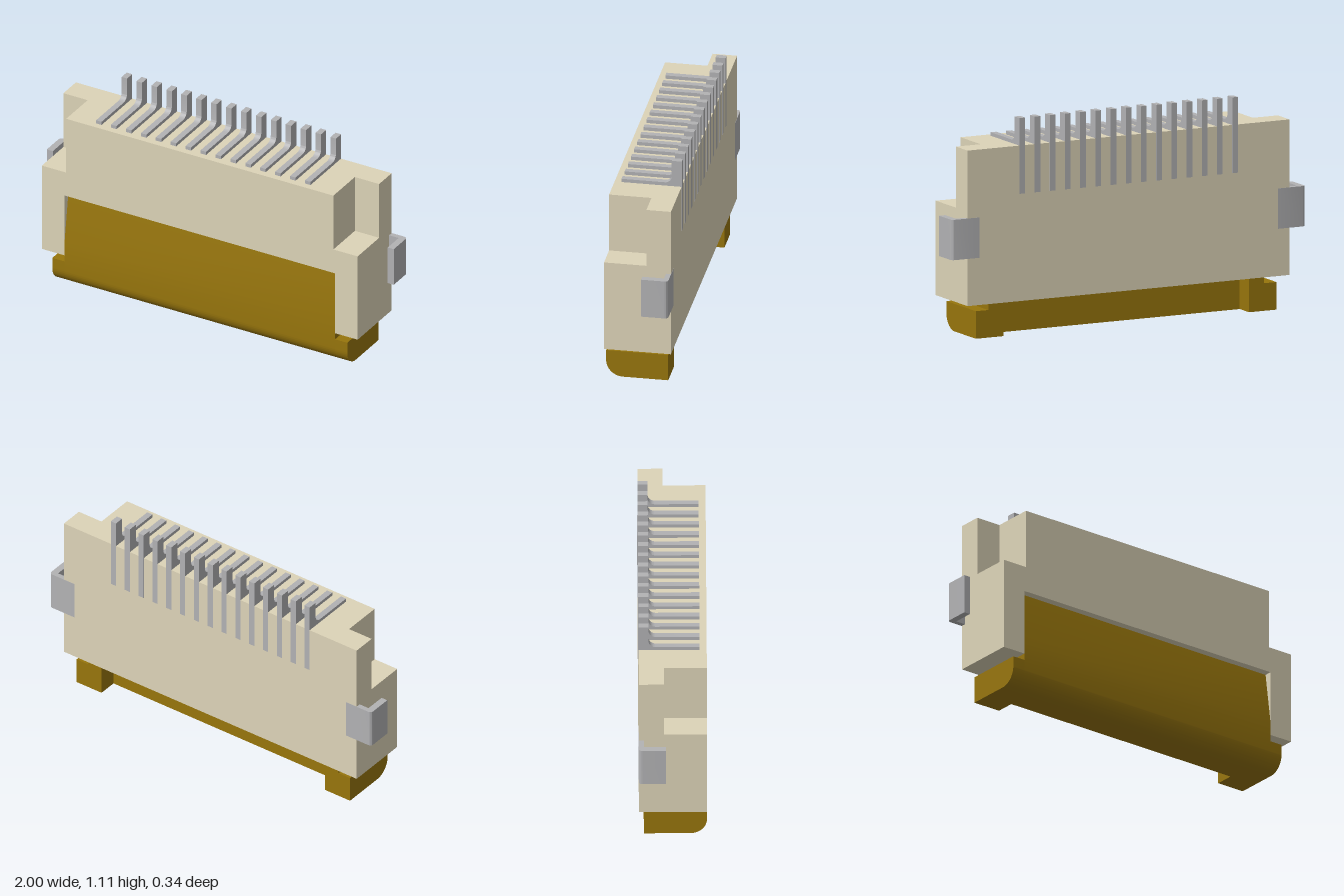
import * as THREE from 'three';
import { toCreasedNormals } from 'three/addons/utils/BufferGeometryUtils.js';

const plastic = new THREE.MeshStandardMaterial({ color: 0xddd4b8 });
const amber = new THREE.MeshStandardMaterial({ color: 0x97750c });
const metal = new THREE.MeshStandardMaterial({ color: 0xb2b2b4 });

const polygon = (points) => new THREE.Shape(points.map(([x, y]) => new THREE.Vector2(x, y)));

const extrude = (shape, depth) =>
  new THREE.ExtrudeGeometry(shape, { depth, bevelEnabled: false, curveSegments: 12 });

// Extrude a (z, y) profile along x between x0 and x1
const alongX = (shape, x0, x1) =>
  extrude(shape, x1 - x0).rotateY(-Math.PI / 2).translate(x1, 0, 0);

// Extrude an (x, y) outline along z between z0 and z1
const alongZ = (shape, z0, z1) => extrude(shape, z1 - z0).translate(0, 0, z0);

function add(parent, name, geometry, material) {
  const mesh = new THREE.Mesh(toCreasedNormals(geometry, 0.5), material);
  mesh.name = name;
  parent.add(mesh);
  return mesh;
}

const FRONT = 0.17, BACK = -0.17, STEP = -0.045;
const TOP = 0.965, BOTTOM = 0.175;

function housing() {
  const group = new THREE.Group();
  group.name = 'housing';
  // Full-height rear wall
  const rear = polygon([[-0.91, BOTTOM], [0.91, BOTTOM], [0.91, TOP], [-0.91, TOP]]);
  add(group, 'rearWall', alongZ(rear, BACK, STEP), plastic);
  // Front block with notched upper corners and the actuator opening
  const half = [[0.78, 0.52], [0.78, BOTTOM], [0.91, BOTTOM], [0.91, 0.655], [0.77, 0.655], [0.77, TOP]];
  const mirrored = half.map(([x, y]) => [-x, y]).reverse();
  add(group, 'frontBlock', alongZ(polygon([...half, ...mirrored]), STEP, FRONT), plastic);
  return group;
}

// Side profile with a rounded lower front edge
function roundedProfile(back, upperPoints) {
  const r = 0.085;
  const s = new THREE.Shape();
  s.moveTo(back, 0);
  s.lineTo(FRONT - r, 0);
  s.absarc(FRONT - r, r, r, -Math.PI / 2, 0, false);
  upperPoints.forEach(([z, y]) => s.lineTo(z, y));
  s.closePath();
  return s;
}

function actuator() {
  const group = new THREE.Group();
  group.name = 'actuator';
  // Flap with a leaning upper face
  const flap = roundedProfile(STEP, [[FRONT, 0.245], [0.13, 0.52], [STEP, 0.52]]);
  add(group, 'flap', alongX(flap, -0.78, 0.78), amber);
  const ear = roundedProfile(-0.145, [[FRONT, 0.14], [-0.145, 0.14]]);
  for (const s of [-1, 1]) {
    const x = s * 0.815;
    add(group, 'ear', alongX(ear, x - 0.035, x + 0.035), amber);
    // Foot reaching back under the housing
    const foot = new THREE.BoxGeometry(0.085, BOTTOM, 0.1).translate(s * 0.7375, BOTTOM / 2, -0.095);
    add(group, 'foot', foot, amber);
  }
  return group;
}

function contacts() {
  const group = new THREE.Group();
  group.name = 'contacts';
  // Bent pin: foot on the top face, fillet, upright, and a tail set in the rear face
  const s = new THREE.Shape();
  const flat = TOP + 0.018, r = 0.035, rear = BACK - 0.001;
  s.moveTo(0.135, TOP);
  s.lineTo(0.135, flat);
  s.lineTo(-0.12 + r, flat);
  s.absarc(-0.12 + r, flat + r, r, -Math.PI / 2, -Math.PI, true);
  s.lineTo(-0.12, 1.105);
  s.lineTo(rear, 1.105);
  s.lineTo(rear, 0.72);
  s.lineTo(-0.14, 0.72);
  s.lineTo(-0.14, TOP);
  s.closePath();
  const pin = alongX(s, -0.016, 0.016);
  for (let i = -7; i <= 7; i++) {
    add(group, 'contactPin', pin, metal).position.x = i * 0.086;
  }
  return group;
}

function bracket(side) {
  // L-shaped plan drawn as (x, -z), with a rounded outer bend
  const s = new THREE.Shape();
  const back = 0.171, r = 0.02;
  s.moveTo(side * 0.845, 0.145);
  s.lineTo(side * 0.965, 0.145);
  s.lineTo(side * 0.965, 0.035);
  s.lineTo(side, 0.035);
  s.lineTo(side, back - r);
  s.quadraticCurveTo(side, back, side * (1 - r), back);
  s.lineTo(side * 0.845, back);
  s.closePath();
  return extrude(s, 0.205).rotateX(-Math.PI / 2).translate(0, 0.415, 0);
}

export function createModel() {
  const model = new THREE.Group();
  model.name = 'ribbonCableConnector';
  model.add(housing(), actuator(), contacts());
  add(model, 'leftBracket', bracket(1), metal);
  add(model, 'rightBracket', bracket(-1), metal);
  return model;
}
